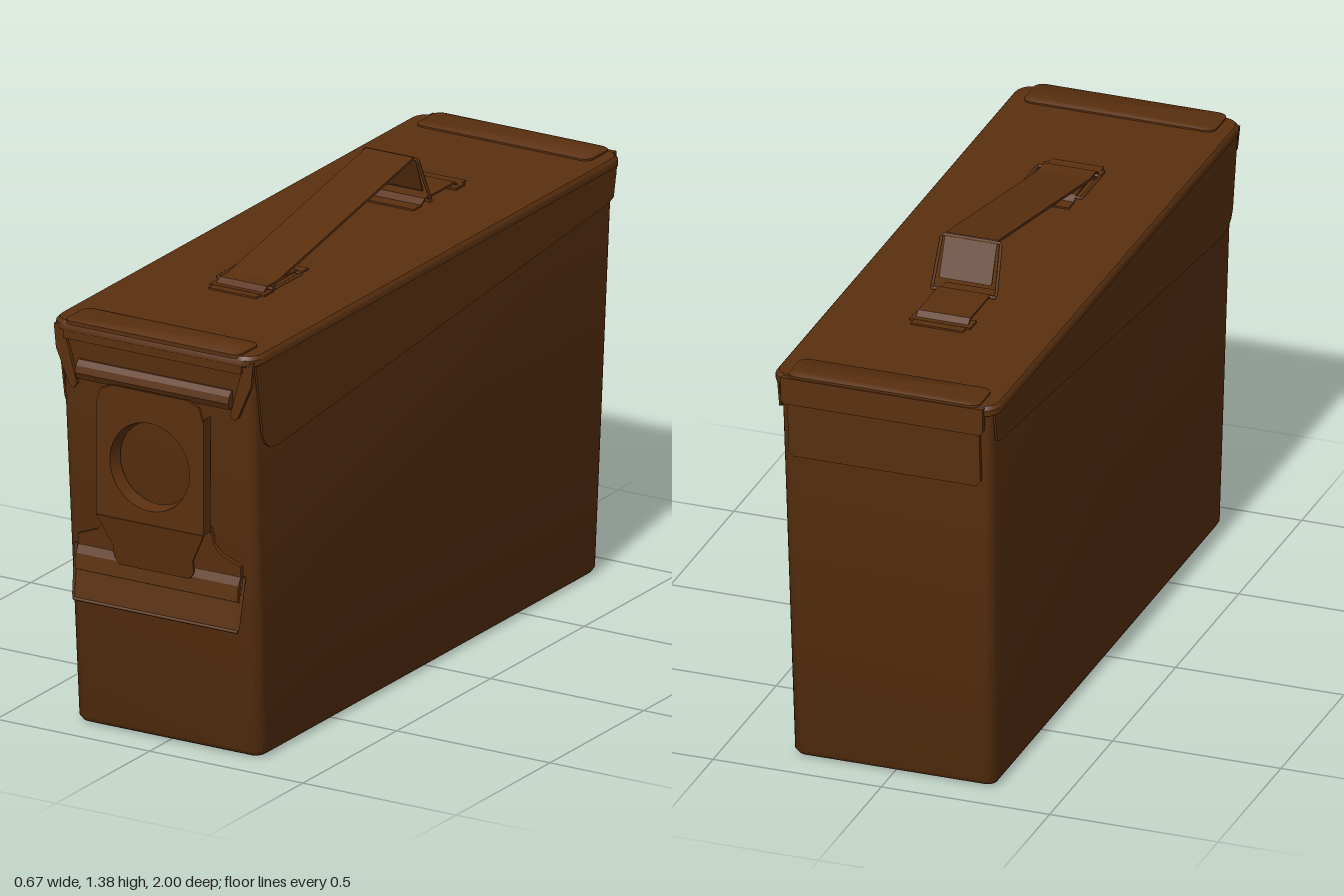
import * as THREE from 'three';
import { toCreasedNormals } from 'three/addons/utils/BufferGeometryUtils.js';

const paint = new THREE.MeshStandardMaterial({ color: 0x5a300f, side: THREE.DoubleSide });
paint.name = 'brown paint';

// Stack of rounded rectangles, each [y, halfX, halfZ, cornerRadius], closed at both ends
function loft(sections, steps = 5) {
  const pos = [], idx = [], n = 4 * (steps + 1);
  for (const [y, hx, hz, r] of sections) {
    for (let c = 0; c < 4; c++) {
      const sx = c === 0 || c === 3 ? 1 : -1, sz = c < 2 ? -1 : 1;
      for (let s = 0; s <= steps; s++) {
        const a = (c + s / steps) * Math.PI / 2;
        pos.push(sx * (hx - r) + r * Math.cos(a), y, sz * (hz - r) - r * Math.sin(a));
      }
    }
  }
  const last = sections.length - 1;
  for (let k = 0; k < last; k++) for (let i = 0; i < n; i++) {
    const a = k * n + i, b = k * n + (i + 1) % n;
    idx.push(a, b, b + n, a, b + n, a + n);
  }
  for (let i = 1; i < n - 1; i++) {
    idx.push(0, i + 1, i, last * n, last * n + i, last * n + i + 1);
  }
  const g = new THREE.BufferGeometry();
  g.setAttribute('position', new THREE.Float32BufferAttribute(pos, 3));
  g.setIndex(idx);
  return toCreasedNormals(g, 0.7);
}

// Flat outline extruded along +z
function plate(points, depth, holes = []) {
  const shape = new THREE.Shape(points.map(p => new THREE.Vector2(...p)));
  shape.holes.push(...holes);
  return new THREE.ExtrudeGeometry(shape, { depth, bevelEnabled: false, curveSegments: 32 });
}

// Mirrors one half of an outline (listed top to bottom at +x)
const mirrored = half => [...half, ...half.map(([x, y]) => [-x, y]).reverse()];

// Side profile given as (z, y), extruded across x and centred
function across(points, width) {
  const g = plate(points.map(([z, y]) => [-z, y]), width);
  g.translate(0, 0, -width / 2);
  return g.rotateY(Math.PI / 2);
}

// Constant thickness strip following (z, y) points
function strip(path, width, t) {
  return across([...path, ...path.map(([z, y]) => [z, y - t]).reverse()], width);
}

function wire(points, radius, closed = false) {
  const path = new THREE.CurvePath();
  const v = points.map(p => new THREE.Vector3(...p));
  if (closed) v.push(v[0].clone());
  for (let i = 0; i < v.length - 1; i++) path.add(new THREE.LineCurve3(v[i], v[i + 1]));
  return new THREE.TubeGeometry(path, 64, radius, 6, false);
}

export function createModel() {
  const root = new THREE.Group();
  root.name = 'metalBox';
  const add = (name, geometry, parent = root) => {
    const m = new THREE.Mesh(geometry, paint);
    m.name = name;
    parent.add(m);
    return m;
  };
  const group = name => {
    const g = new THREE.Group();
    g.name = name;
    root.add(g);
    return g;
  };
  const wallZ = y => 0.9 + 0.06 * y;   // front wall leans outward
  const lean = Math.atan(0.06);

  // Tapered body with a rounded bottom edge
  add('body', loft([
    [0, 0.28, 0.88, 0.02], [0.006, 0.293, 0.893, 0.027],
    [0.02, 0.302, 0.902, 0.03], [1.2, 0.314, 0.972, 0.03],
  ]));

  // Lid with rim, end ridges and side flaps
  const lid = group('lid');
  add('lidTop', loft([
    [1.185, 0.325, 0.98, 0.04], [1.19, 0.333, 0.99, 0.05],
    [1.207, 0.333, 0.99, 0.05], [1.217, 0.325, 0.983, 0.05],
  ]), lid);
  for (const s of [1, -1]) {
    const ridge = add('endRidge', loft([
      [1.21, 0.285, 0.06, 0.025], [1.222, 0.285, 0.06, 0.025], [1.225, 0.28, 0.056, 0.025],
    ]), lid);
    ridge.position.z = s * 0.935;
    const flap = add('sideFlap', across([
      [0.965, 1.2], [0.925, 0.97], [0.912, 0.945], [0.885, 0.925], [0.845, 0.92],
      [-0.92, 1.09], [-0.945, 1.1], [-0.965, 1.2],
    ], 0.006), lid);
    flap.position.x = s * 0.321;
    // Ear folding round the front corner
    const ear = add('frontEar', plate([
      [s * 0.325, 1.2], [s * 0.295, 1.2], [s * 0.25, 1.035],
      [s * 0.262, 1.02], [s * 0.275, 1.03], [s * 0.318, 1.13],
    ], 0.012), lid);
    ear.position.z = 0.968;
  }
  add('frontSkirt', new THREE.BoxGeometry(0.58, 0.035, 0.02), lid).position.set(0, 1.182, 0.977);

  // Hinge plates on the back
  const hinge = group('hinge');
  add('hingeSkirt', plate(mirrored([[0.3, 1.215], [0.3, 1.145], [0.29, 1.135]]), 0.02), hinge)
    .position.z = -0.999;
  const hingePlate = add('hingePlate', plate(mirrored([[0.285, 0.09], [0.285, -0.07], [0.27, -0.085]]), 0.014), hinge);
  hingePlate.position.set(0, 1.05, -0.98);
  hingePlate.rotation.x = -lean;

  // Front latch: catch bar, pierced lever, base bracket and pull flap
  const latch = group('latch');
  add('catchBar', across([
    [0.955, 1.105], [0.972, 1.105], [0.985, 1.09], [0.99, 1.07], [0.98, 1.05], [0.955, 1.05],
  ], 0.5), latch);
  const hole = new THREE.Path();
  hole.absarc(0, 0.84, 0.13, 0, Math.PI * 2, true);
  add('lever', plate(mirrored([
    [0.125, 1.06], [0.16, 1.045], [0.175, 1.0], [0.175, 0.67],
  ]), 0.008, [hole]), latch).position.z = 0.992;
  const rim = add('leverHoleRim', new THREE.CylinderGeometry(0.13, 0.122, 0.04, 32, 1, true), latch);
  rim.rotation.x = Math.PI / 2;
  rim.position.set(0, 0.84, 0.977);
  for (const s of [1, -1]) {
    add('leverSide', new THREE.BoxGeometry(0.006, 0.34, 0.035), latch)
      .position.set(s * 0.172, 0.84, 0.978);
  }
  const tongue = add('leverTongue', plate(mirrored([
    [0.175, 0], [0.13, -0.09], [0.13, -0.125], [0.115, -0.148],
  ]), 0.008), latch);
  tongue.position.set(0, 0.67, 0.992);
  tongue.rotation.x = 0.18;
  const bracket = add('baseBracket', plate(mirrored([
    [0.17, 0.14], [0.18, 0.09], [0.2, 0.065], [0.265, 0.04], [0.265, 0],
  ]), 0.012), latch);
  bracket.position.set(0, 0.54, wallZ(0.54) + 0.002);
  bracket.rotation.x = lean;
  add('pullRoll', across([
    [0.925, 0.55], [0.948, 0.548], [0.96, 0.525], [0.966, 0.48], [0.955, 0.475], [0.925, 0.52],
  ], 0.53), latch);
  const corners = [[0.275, 0.55, 0.943], [0.268, 0.392, 0.968], [-0.268, 0.392, 0.968], [-0.275, 0.55, 0.943]];
  add('pullWire', wire(corners, 0.005), latch);
  add('pullFlap', strip([[0.945, 0.545], [0.969, 0.392], [0.965, 0.392], [0.941, 0.545]], 0.535, 0.002), latch);

  // Folding carry handle with two brackets and wire loops
  const handle = group('handle');
  add('handleStrap', strip([[0.5, 1.232], [0.47, 1.232], [-0.28, 1.376], [-0.287, 1.372]], 0.155, 0.008), handle);
  for (const [name, z0, z1, s] of [['front', 0.34, 0.5, 1], ['rear', -0.5, -0.34, -1]]) {
    const m = (z0 + z1) / 2;
    add(name + 'Bracket', strip([
      [m - 0.14, 1.222], [z0 - 0.02, 1.222], [z0, 1.236], [z1, 1.236], [z1 + 0.02, 1.222], [m + 0.14, 1.222],
    ], 0.155, 0.006), handle);
    add(name + 'BracketFoot', new THREE.BoxGeometry(0.18, 0.008, 0.05), handle)
      .position.set(0, 1.219, m + s * 0.09);
  }
  add('frontLoop', wire([
    [0.093, 1.228, 0.49], [0.093, 1.228, 0.34], [-0.093, 1.228, 0.34], [-0.093, 1.228, 0.49],
  ], 0.005, true), handle);
  add('rearLoop', wire([
    [0.095, 1.23, -0.345], [0.088, 1.37, -0.285], [-0.088, 1.37, -0.285], [-0.095, 1.23, -0.345],
  ], 0.005, true), handle);
  // Folded strap end hanging inside the rear loop
  add('strapEnd', strip([[-0.28, 1.372], [-0.288, 1.372], [-0.334, 1.262], [-0.328, 1.262]], 0.155, 0.002), handle);

  return root;
}
